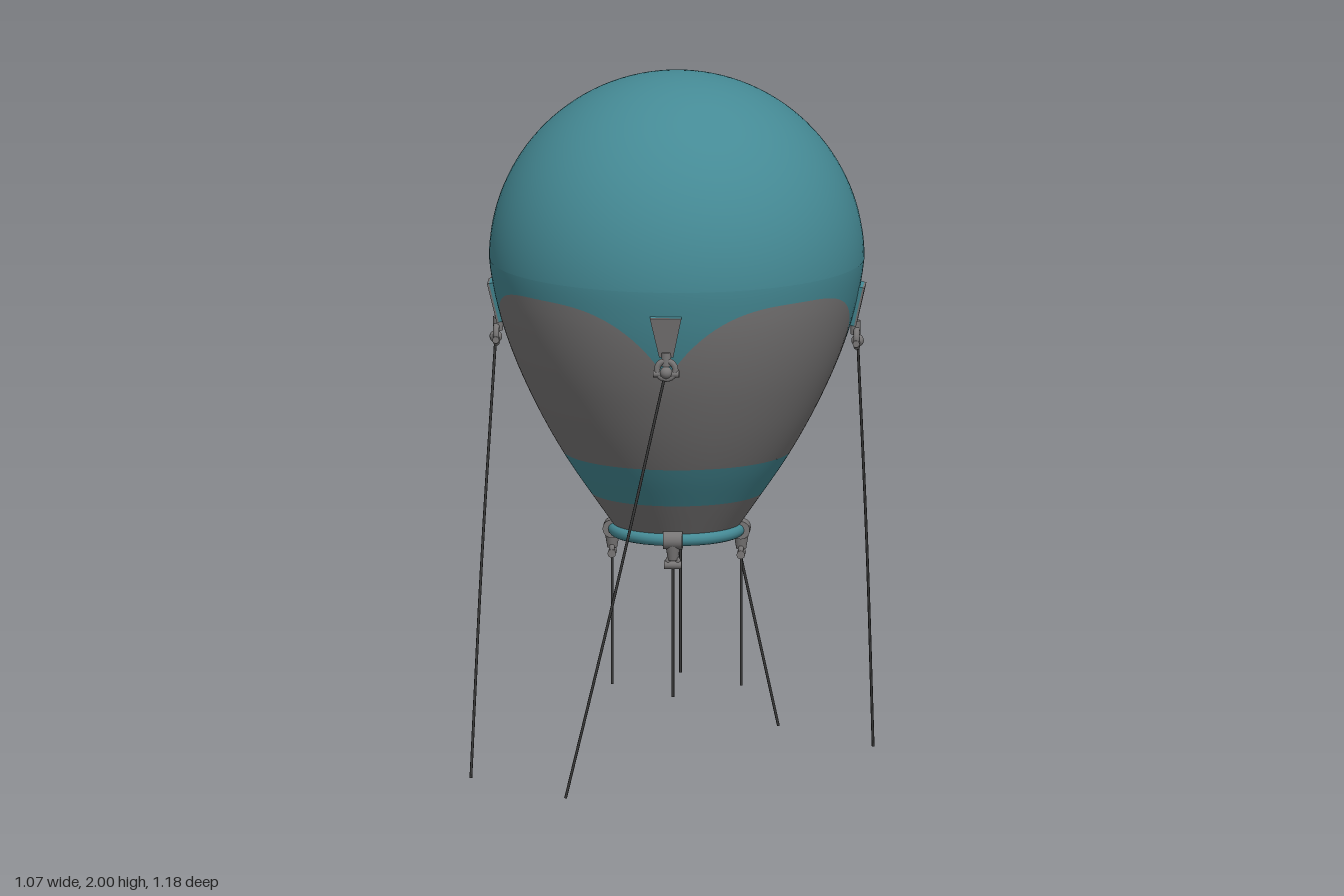
import * as THREE from 'three';

const mat = (name, color, side = THREE.FrontSide) => {
  const m = new THREE.MeshStandardMaterial({ color, side });
  m.name = name;
  return m;
};

export function createModel() {
  const teal = mat('teal', 0x458a95, THREE.DoubleSide);
  const grey = mat('grey', 0x787676, THREE.DoubleSide);
  const rope = mat('dark rope', 0x383838);
  const root = new THREE.Group();
  root.name = 'balloon';

  const add = (parent, name, geometry, material, x = 0, y = 0, z = 0) => {
    const mesh = new THREE.Mesh(geometry, material);
    mesh.name = name;
    mesh.position.set(x, y, z);
    parent.add(mesh);
    return mesh;
  };

  // Everything but the mooring ropes is centred on the envelope axis
  const axisZ = -0.018;
  const body = new THREE.Group();
  body.name = 'body';
  body.position.z = axisZ;
  root.add(body);

  // Envelope radius by height: evenly spaced samples, one spare at each end
  const equator = 1.465, R = 0.535;
  const radii = [0.1, 0.17, 0.24, 0.308, 0.367, 0.418, 0.462, 0.497, 0.522, 0.535, 0.528];
  const profile = new THREE.SplineCurve(radii.map((r, i) => new THREE.Vector2(0.58 + i * 0.1, r)));
  const radius = (y) => profile.getPoint((y - 0.58) / 1).y;

  // Scalloped colour border, with a cusp at each diagonal
  const scallop = (a) => {
    const quarter = Math.PI / 2;
    const t = Math.abs(a / quarter - Math.round(a / quarter)) * 2;
    return 1.41 - 0.21 * t ** 3;
  };

  // Piece of envelope between two border heights, given as functions of angle
  function panel(name, material, low, high, start = 0, end = Math.PI * 2, nu = 160, nv = 14) {
    const pos = [], nor = [], idx = [];
    for (let j = 0; j <= nv; j++) {
      for (let i = 0; i <= nu; i++) {
        const a = start + (end - start) * i / nu;
        const y = THREE.MathUtils.lerp(low(a), high(a), j / nv);
        const r = radius(y), slope = (radius(y + 0.005) - radius(y - 0.005)) / 0.01;
        pos.push(r * Math.sin(a), y, r * Math.cos(a));
        const n = new THREE.Vector3(Math.sin(a), -slope, Math.cos(a)).normalize();
        nor.push(n.x, n.y, n.z);
        if (i < nu && j < nv) {
          const p = j * (nu + 1) + i, q = p + nu + 1;
          idx.push(p, p + 1, q, p + 1, q + 1, q);
        }
      }
    }
    const g = new THREE.BufferGeometry();
    g.setAttribute('position', new THREE.Float32BufferAttribute(pos, 3));
    g.setAttribute('normal', new THREE.Float32BufferAttribute(nor, 3));
    g.setIndex(idx);
    return add(body, name, g, material);
  }
  const at = (y) => () => y;

  // Envelope
  add(body, 'envelopeDome', new THREE.SphereGeometry(R, 96, 32, 0, Math.PI * 2, 0, Math.PI / 2), teal, 0, equator);
  panel('envelopeCollar', teal, scallop, at(equator));
  panel('envelopeSide', grey, at(0.91), scallop);
  const seam = Math.PI * 1.25;
  panel('lowerBand', teal, at(0.79), at(0.91), seam + 0.03, seam - 0.03 + Math.PI * 2);
  panel('bandSeam', grey, at(0.79), at(0.91), seam - 0.03, seam + 0.03, 2);
  panel('envelopeSkirt', grey, at(0.68), at(0.79));

  // Hoop around the mouth
  add(body, 'mouthHoop', new THREE.TorusGeometry(0.178, 0.018, 14, 72), teal, 0, 0.68).rotation.x = Math.PI / 2;

  // Tapered anchor plate, wide at the top
  const plate = new THREE.Shape([
    new THREE.Vector2(-0.02, -0.06), new THREE.Vector2(0.02, -0.06),
    new THREE.Vector2(0.045, 0.06), new THREE.Vector2(-0.045, 0.06),
  ]);
  const slab = (depth) => new THREE.ExtrudeGeometry(plate, { depth, bevelEnabled: false });

  function ropeTube(parent, name, points) {
    const curve = new THREE.CatmullRomCurve3(points.map((p) => new THREE.Vector3(...p)));
    add(parent, name, new THREE.TubeGeometry(curve, 16, 0.004, 8), rope);
  }

  for (const sx of [1, -1]) {
    for (const sz of [1, -1]) {
      const label = (sz > 0 ? 'front' : 'back') + (sx > 0 ? 'Left' : 'Right');
      const angle = Math.atan2(sx, sz);

      // Side anchor: plate, shackle and knot
      const anchor = new THREE.Group();
      anchor.name = label + 'Anchor';
      anchor.rotation.y = angle;
      body.add(anchor);
      const mount = new THREE.Group();
      mount.name = 'anchorPlate';
      mount.position.set(0, 1.335, 0.51);
      mount.rotation.x = 0.22;
      anchor.add(mount);
      add(mount, 'plateBacking', slab(0.016), teal, 0, 0, -0.006);
      add(mount, 'plateFace', slab(0.006), grey, 0, 0, 0.01);
      add(anchor, 'shackleNeck', new THREE.CylinderGeometry(0.014, 0.014, 0.04, 14), grey, 0, 1.268, 0.51);
      add(anchor, 'shackleRing', new THREE.TorusGeometry(0.026, 0.009, 10, 24), grey, 0, 1.238, 0.514);
      add(anchor, 'shacklePin', new THREE.CylinderGeometry(0.01, 0.01, 0.075, 12), grey, 0, 1.226, 0.514)
        .rotation.z = Math.PI / 2;
      add(anchor, 'ropeKnot', new THREE.SphereGeometry(0.018, 16, 12), grey, 0, 1.23, 0.516);

      // Long mooring rope, splayed forward or back
      const top = [sx * 0.364, 1.23, axisZ + sz * 0.366];
      const foot = [sx * 0.203, 0.003, sz * 0.586];
      const middle = top.map((v, i) => (v + foot[i]) / 2);
      middle[0] += sx * 0.006;
      ropeTube(root, label + 'MooringRope', [top, middle, foot]);

      // Hoop clamp with its short hanging rope
      const clamp = new THREE.Group();
      clamp.name = label + 'Clamp';
      clamp.position.set(Math.sin(angle) * 0.184, 0, Math.cos(angle) * 0.184);
      clamp.rotation.y = angle;
      body.add(clamp);
      add(clamp, 'clampSleeve', new THREE.CylinderGeometry(0.026, 0.026, 0.055, 20), grey, 0, 0.68, 0)
        .rotation.z = Math.PI / 2;
      add(clamp, 'clampNeck', new THREE.CylinderGeometry(0.022, 0.014, 0.045, 16), grey, 0, 0.645, 0);
      add(clamp, 'clampRing', new THREE.TorusGeometry(0.014, 0.008, 10, 20), grey, 0, 0.618, 0);
      add(clamp, 'clampPin', new THREE.CylinderGeometry(0.012, 0.012, 0.05, 12), grey, 0, 0.608, 0)
        .rotation.z = Math.PI / 2;
      ropeTube(clamp, 'hangingRope', [[0, 0.61, 0], [0, 0.42, 0], [0, 0.225, 0]]);
    }
  }
  return root;
}
